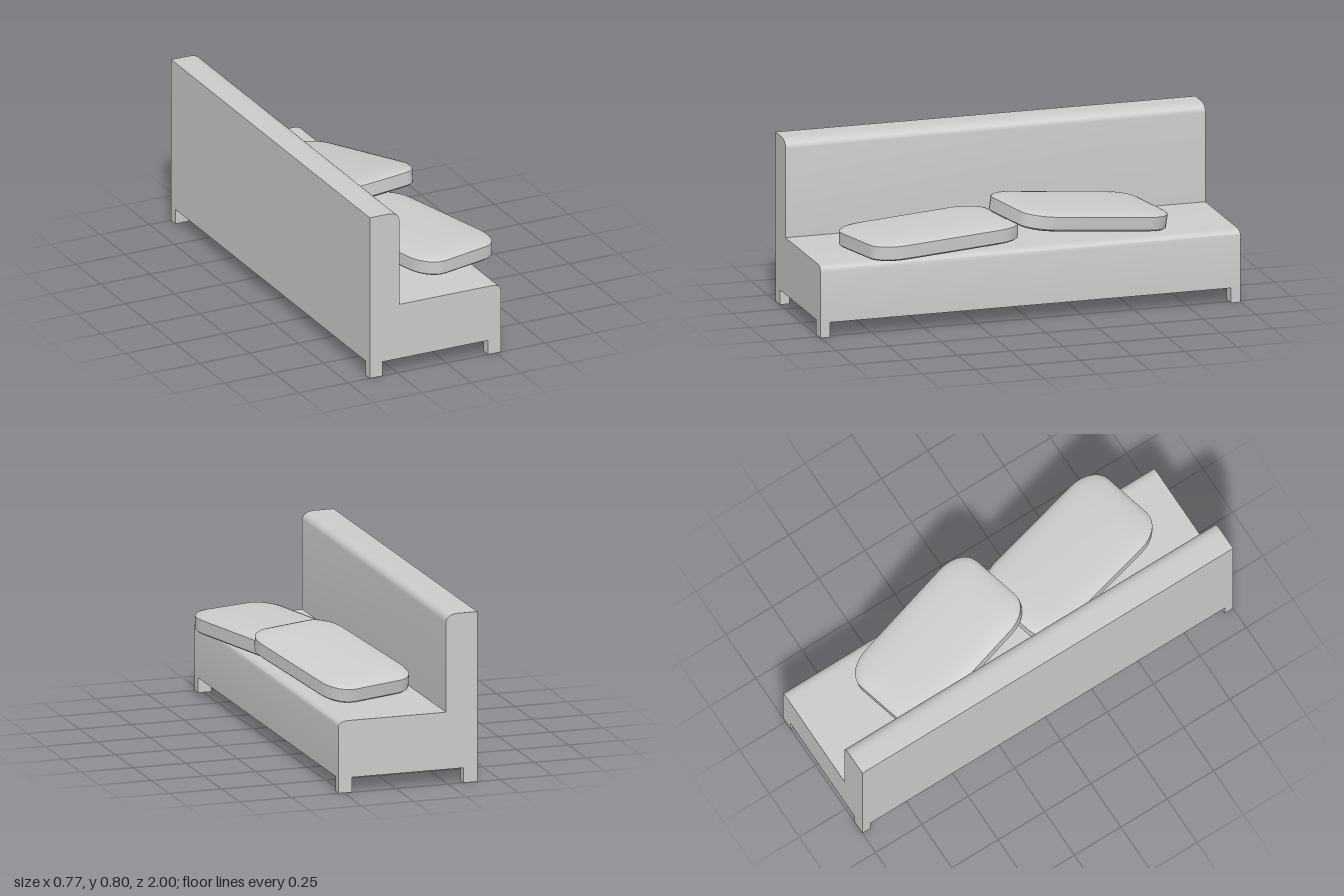
import * as THREE from 'three';
import { toCreasedNormals } from 'three/addons/utils/BufferGeometryUtils.js';

const material = new THREE.MeshStandardMaterial({ color: 0xcccccc });

function add(parent, name, geometry, x = 0, y = 0, z = 0) {
  const mesh = new THREE.Mesh(geometry, material);
  mesh.name = name;
  mesh.position.set(x, y, z);
  parent.add(mesh);
  return mesh;
}

// L-shaped side profile with softened top edges, swept along z
function frameGeometry() {
  const s = new THREE.Shape();
  s.moveTo(-0.39, 0.07);
  s.lineTo(0.275, 0.07);
  s.lineTo(0.275, 0.31);
  s.bezierCurveTo(0.275, 0.327, 0.26, 0.337, 0.225, 0.337);
  s.lineTo(-0.24, 0.337);
  s.lineTo(-0.24, 0.755);
  s.bezierCurveTo(-0.24, 0.78, -0.262, 0.795, -0.3, 0.795);
  s.lineTo(-0.39, 0.795);
  s.closePath();
  const g = new THREE.ExtrudeGeometry(s, { depth: 2, bevelEnabled: false, curveSegments: 6 });
  g.translate(0, 0, -1);
  return toCreasedNormals(g, 0.5);
}

// Closed rounded-rectangle loop with elliptical corners
function cushionLoop(inset, y, steps) {
  const hx = 0.22 - inset, hz = 0.39 - inset;
  const rx = 0.1 * hx / 0.22, rz = 0.14 * hz / 0.39;
  const loop = [];
  for (let corner = 0; corner < 4; corner++) {
    const sx = corner === 0 || corner === 3 ? 1 : -1;
    const sz = corner < 2 ? 1 : -1;
    for (let i = 0; i <= steps; i++) {
      const a = (corner + i / steps) * Math.PI / 2;
      loop.push(sx * (hx - rx) + rx * Math.cos(a), y, sz * (hz - rz) + rz * Math.sin(a));
    }
  }
  return loop;
}

// Puffed cushion: stacked loops from bottom to top, closed by fans
function cushionGeometry() {
  const edge = [[0.17, 0.0525], [0.1, 0.051], [0.06, 0.048], [0.025, 0.043], [0.007, 0.037], [0, 0.03]];
  const levels = [...edge.map(([d, y]) => [d, -y]), ...edge.slice().reverse()];
  const steps = 7, n = 4 * (steps + 1);
  const positions = levels.flatMap(([d, y]) => cushionLoop(d, y, steps));
  const bottom = levels.length * n, top = bottom + 1;
  positions.push(0, -0.0525, 0, 0, 0.0525, 0);
  const index = [];
  for (let i = 0; i < n; i++) {
    const j = (i + 1) % n;
    for (let k = 0; k < levels.length - 1; k++) {
      const a = k * n + i, b = k * n + j;
      index.push(a, a + n, b, b, a + n, b + n);
    }
    const last = (levels.length - 1) * n;
    index.push(bottom, i, j, top, last + j, last + i);
  }
  const g = new THREE.BufferGeometry();
  g.setAttribute('position', new THREE.Float32BufferAttribute(positions, 3));
  g.setIndex(index);
  return toCreasedNormals(g, 0.6);
}

export function createModel() {
  const group = new THREE.Group();
  group.name = 'sofa';

  add(group, 'seatAndBackrest', frameGeometry());

  // Short square legs flush with the four corners
  const leg = new THREE.BoxGeometry(0.065, 0.07, 0.045);
  for (const [xName, x] of [['back', -0.3575], ['front', 0.2425]]) {
    for (const [zName, z] of [['Near', 0.9775], ['Far', -0.9775]]) {
      add(group, `${xName}Leg${zName}`, leg, x, 0.035, z);
    }
  }

  // One cushion lies flat, the other leans on its edge
  const cushion = cushionGeometry();
  const yaw = THREE.MathUtils.degToRad(14);
  add(group, 'flatCushion', cushion, 0.1, 0.398, 0.43).rotation.y = yaw;
  add(group, 'leaningCushion', cushion, 0.065, 0.432, -0.295).rotation.set(-0.15, yaw, 0);

  return group;
}
